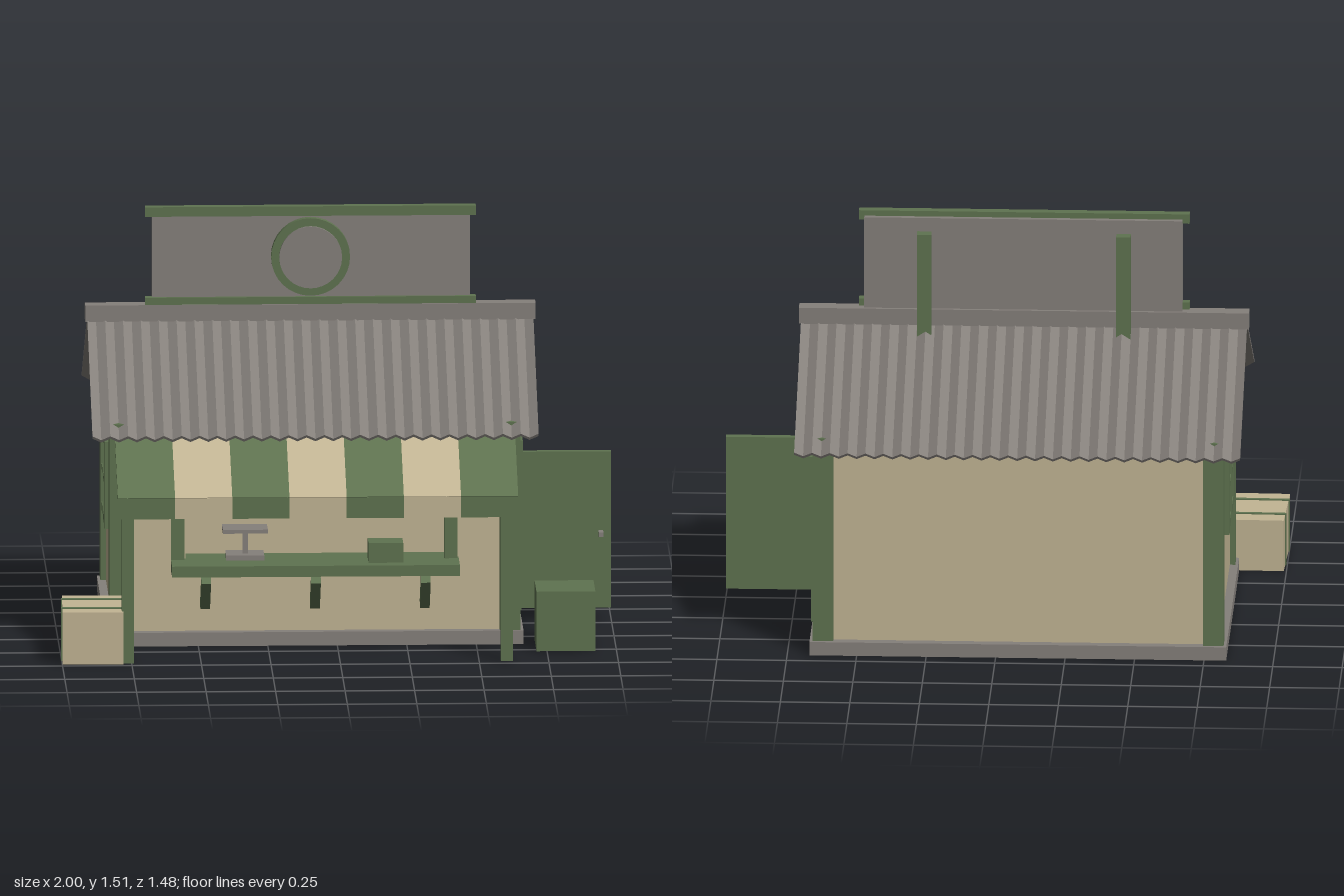
import * as THREE from 'three';

const material = (name, color) => {
  const m = new THREE.MeshStandardMaterial({ color });
  m.name = name;
  return m;
};

export function createModel() {
  const green = material('green paint', 0x5f7350);
  const beige = material('beige boards', 0xc2b594);
  const grey = material('grey metal', 0x85807b);
  const root = new THREE.Group();
  root.name = 'marketStall';

  const add = (name, geometry, mat, parent = root) => {
    const mesh = new THREE.Mesh(geometry, mat);
    mesh.name = name;
    parent.add(mesh);
    return mesh;
  };
  // Box given by its limits on each axis
  const box = (name, mat, x0, x1, y0, y1, z0, z1, parent = root) => {
    const mesh = add(name, new THREE.BoxGeometry(x1 - x0, y1 - y0, z1 - z0), mat, parent);
    mesh.position.set((x0 + x1) / 2, (y0 + y1) / 2, (z0 + z1) / 2);
    return mesh;
  };
  const polygon = (points, Type = THREE.Shape) => new Type(points.map(p => new THREE.Vector2(...p)));
  const rectHole = (a0, a1, b0, b1) =>
    polygon([[a0, b0], [a0, b1], [a1, b1], [a1, b0]], THREE.Path);
  const extrude = (shape, depth) => new THREE.ExtrudeGeometry(shape, { depth, bevelEnabled: false });

  // Floor and walls
  box('floorSlab', grey, -0.83, 0.67, 0, 0.05, -0.685, 0.395);
  box('backWall', beige, -0.8, 0.64, 0.05, 0.8, -0.65, -0.62);
  const front = polygon([[-0.8, 0.05], [0.64, 0.05], [0.64, 0.8], [-0.8, 0.8]]);
  front.holes.push(rectHole(-0.545, 0.385, 0.295, 0.68));
  add('frontWall', extrude(front, 0.03), beige).position.z = 0.33;

  // Gabled side walls, the right one with a doorway
  for (const [name, x, hasDoor] of [['doorWall', 0.64, true], ['windowWall', -0.77, false]]) {
    const side = polygon([[-0.65, 0.05], [0.36, 0.05], [0.36, 0.8], [-0.145, 1.08], [-0.65, 0.8]]);
    if (hasDoor) side.holes.push(rectHole(-0.395, -0.035, 0.051, 0.625));
    const wall = add(name, extrude(side, 0.03), beige);
    wall.rotation.y = -Math.PI / 2;
    wall.position.x = x;
  }

  // Corner posts
  for (const x of [-0.82, 0.585])
    for (const z of [-0.67, 0.31])
      box('cornerPost', green, x, x + 0.075, 0.05, 0.812, z, z + 0.072);

  // Corrugated roof slopes
  const waves = 25, steps = waves * 4, width = 1.605, top = [], bottom = [];
  for (let i = 0; i <= steps; i++) {
    const x = (i / steps - 0.5) * width;
    const y = 0.009 * Math.cos(i * Math.PI / 2);
    top.push([x, y + 0.005]);
    bottom.push([x, y - 0.006]);
  }
  const sheet = extrude(polygon([...bottom, ...top.reverse()]), 0.675);
  for (const turn of [0, Math.PI]) {
    const slope = add(turn ? 'backRoof' : 'frontRoof', sheet, grey);
    slope.rotation.order = 'YXZ';
    slope.rotation.set(Math.atan2(0.325, 0.59), turn, 0);
    slope.position.set(-0.08, 1.095, -0.147);
  }
  box('ridgeCap', grey, -0.89, 0.73, 1.09, 1.15, -0.178, -0.118);

  // Blank roof sign with round emblem plate
  const sign = new THREE.Group();
  sign.name = 'roofSign';
  root.add(sign);
  box('signPanel', grey, -0.65, 0.495, 1.14, 1.49, -0.165, -0.125, sign);
  box('signTopTrim', green, -0.675, 0.515, 1.475, 1.51, -0.145, -0.11, sign);
  box('signBottomTrim', green, -0.675, 0.515, 1.152, 1.178, -0.145, -0.112, sign);
  for (const x of [-0.465, 0.252])
    box('signPost', green, x, x + 0.052, 1.04, 1.44, -0.21, -0.165, sign);
  for (const [name, mat, r, z0, z1] of [['signRing', green, 0.142, -0.125, -0.097], ['signDisc', grey, 0.113, -0.1, -0.086]]) {
    const disc = add(name, new THREE.CylinderGeometry(r, r, z1 - z0, 32), mat, sign);
    disc.rotation.x = Math.PI / 2;
    disc.position.set(-0.08, 1.327, (z0 + z1) / 2);
  }

  // Striped awning with valance and posts
  const stripe = 1.44 / 7;
  for (let i = 0; i < 7; i++) {
    const mat = i % 2 ? beige : green;
    const x = -0.8 + i * stripe;
    const cloth = add('awningStripe', new THREE.BoxGeometry(stripe, 0.014, 0.395), mat);
    cloth.position.set(x + stripe / 2, 0.688, 0.544);
    cloth.rotation.x = Math.atan2(0.17, 0.35);
    box('awningValance', mat, x, x + stripe, 0.53, 0.606, 0.714, 0.724);
  }
  for (const x of [-0.785, 0.578])
    box('awningPost', green, x, x + 0.044, 0, 0.6, 0.668, 0.71);
  box('awningRail', green, -0.785, 0.622, 0.575, 0.605, 0.672, 0.706);

  // Serving hatch frame, counter and braces
  for (const x of [-0.598, 0.385])
    box('hatchJamb', green, x, x + 0.048, 0.31, 0.715, 0.345, 0.388);
  box('hatchHeader', green, -0.598, 0.433, 0.67, 0.715, 0.345, 0.388);
  box('counter', green, -0.598, 0.437, 0.275, 0.315, 0.27, 0.515);
  for (const x of [-0.475, -0.08, 0.315]) {
    const brace = add('counterBrace', new THREE.BoxGeometry(0.035, 0.165, 0.035), green);
    brace.position.set(x, 0.203, 0.43);
    brace.rotation.x = 0.8;
  }

  // Goods on the counter
  box('scaleBase', grey, -0.4, -0.263, 0.315, 0.333, 0.3, 0.405);
  box('scaleColumn', grey, -0.34, -0.32, 0.333, 0.415, 0.343, 0.363);
  box('scaleTray', grey, -0.412, -0.25, 0.413, 0.427, 0.295, 0.405);
  box('counterBox', green, 0.11, 0.235, 0.315, 0.387, 0.37, 0.465);

  // Door frame and open door
  box('doorJamb', green, 0.61, 0.675, 0.05, 0.63, -0.035, 0.01);
  box('doorJamb', green, 0.61, 0.675, 0.05, 0.63, -0.44, -0.395);
  box('doorHeader', green, 0.61, 0.68, 0.625, 0.67, -0.44, 0.01);
  box('door', green, 0.66, 0.998, 0.05, 0.622, -0.055, -0.027);
  box('doorHandle', grey, 0.953, 0.97, 0.315, 0.333, -0.027, 0.012);

  // Closed window on the left wall
  box('windowShutter', green, -0.809, -0.8, 0.37, 0.68, -0.33, 0.05);
  for (const z of [-0.34, -0.15, 0.03])
    box('windowUpright', green, -0.827, -0.8, 0.365, 0.685, z, z + (z === -0.15 ? 0.02 : 0.03));
  for (const y of [0.365, 0.515, 0.655])
    box('windowRail', green, -0.825, -0.8, y, y + (y === 0.515 ? 0.02 : 0.03), -0.34, 0.06);

  // Crates beside the stall
  const crate = new THREE.Group();
  crate.name = 'strappedCrate';
  crate.position.set(-0.885, 0, 0.565);
  crate.rotation.y = -0.03;
  root.add(crate);
  box('crateBody', beige, -0.11, 0.11, 0, 0.19, -0.162, 0.162, crate);
  for (const z of [-0.085, 0.085])
    box('crateStrap', green, -0.114, 0.114, 0, 0.194, z - 0.007, z + 0.007, crate);
  box('greenCrate', green, 0.712, 0.924, 0, 0.218, 0.318, 0.53);

  return root;
}
